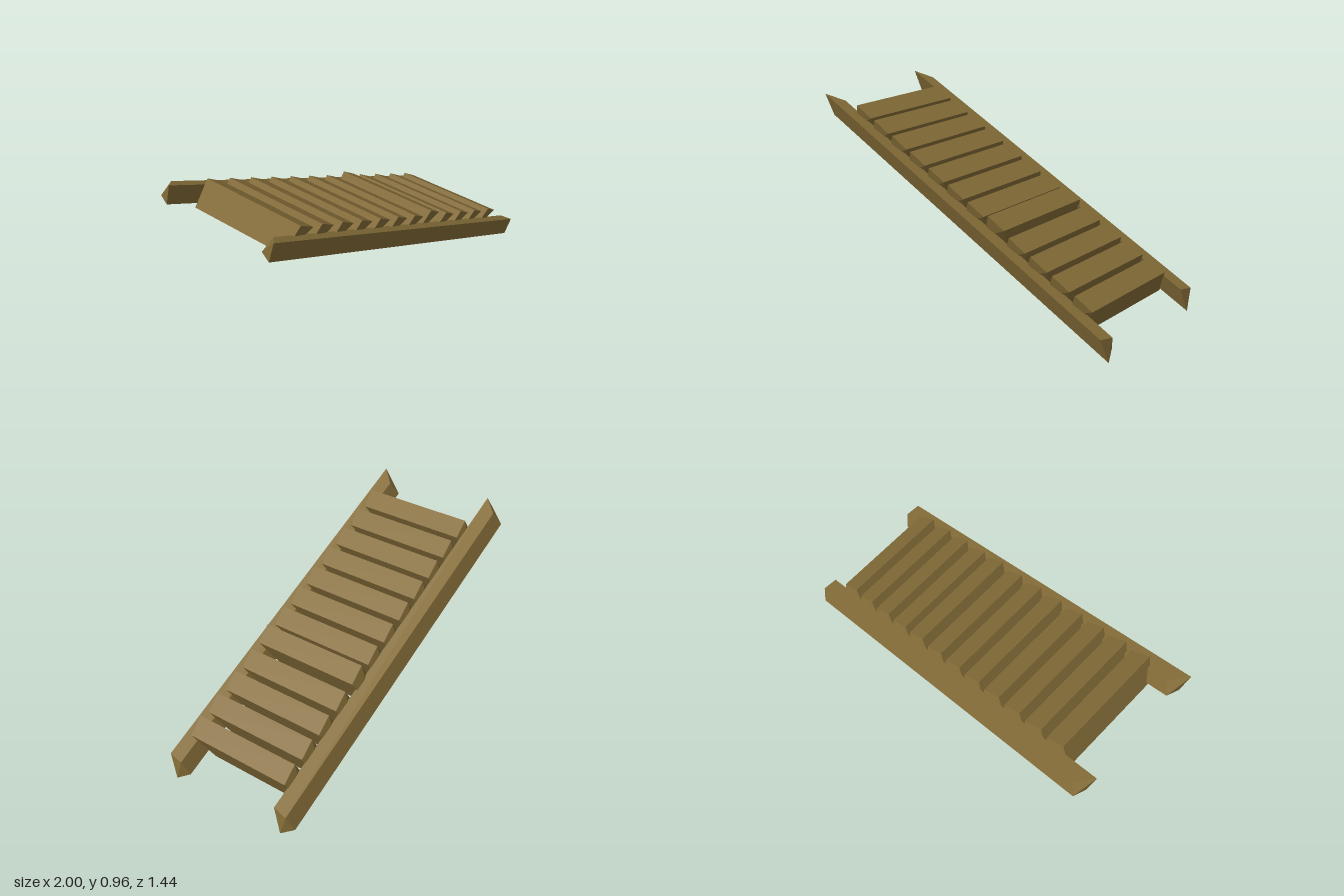
import * as THREE from 'three';
import { ConvexGeometry } from 'three/addons/geometries/ConvexGeometry.js';

const SLOPE = 0.433; // fall of the rails per unit of run

// Flat-sided block spanned by its corner points
function block(points, material, name) {
  const mesh = new THREE.Mesh(
    new ConvexGeometry(points.map((p) => new THREE.Vector3(...p))), material);
  mesh.name = name;
  return mesh;
}

export function createModel() {
  const wood = new THREE.MeshStandardMaterial({ color: 0x846c38 });
  wood.name = 'brown wood';

  const stairs = new THREE.Group();
  stairs.name = 'stairs';
  // Built along x, then turned to run diagonally
  stairs.rotation.y = THREE.MathUtils.degToRad(23.15);

  // Rails: leaning section [z, height at mid-run, upper end x, lower end x]
  const railSection = [
    [0.33, 0.416, -0.941, 0.945],
    [0.264, 0.438, -0.918, 0.913],
    [0.298, 0.527, -0.877, 0.938],
    [0.375, 0.536, -0.949, 0.927],
  ];
  const railCorners = railSection.flatMap(([z, y, x0, x1]) =>
    [x0, x1].map((x) => [x, y - SLOPE * x, z]));
  stairs.add(block(railCorners, wood, 'frontRail'));
  const backRail = block(railCorners, wood, 'backRail');
  backRail.position.set(-0.004, 0.015, -0.66);
  stairs.add(backRail);

  // Treads: tilted section [x, y, back z, front z] of the uppermost one
  const treadSection = [
    [-0.812, 0.772, -0.295, 0.285],
    [-0.72, 0.71, -0.345, 0.225],
    [-0.652, 0.852, -0.277, 0.315],
    [-0.743, 0.91, -0.27, 0.33],
  ];
  const treadCorners = treadSection.flatMap(([x, y, z0, z1]) =>
    [[x, y, z0], [x, y, z1]]);
  const COUNT = 12;
  for (let i = 0; i < COUNT; i++) {
    const tread = block(treadCorners, wood, `tread${i + 1}`);
    const lift = i === 7 ? 0.02 : 0; // one loose tread sits proud
    tread.position.set(0.135 * i, -0.0577 * i + lift, 0);
    stairs.add(tread);
  }

  const model = new THREE.Group();
  model.name = 'staircase';
  model.add(stairs);
  return model;
}
